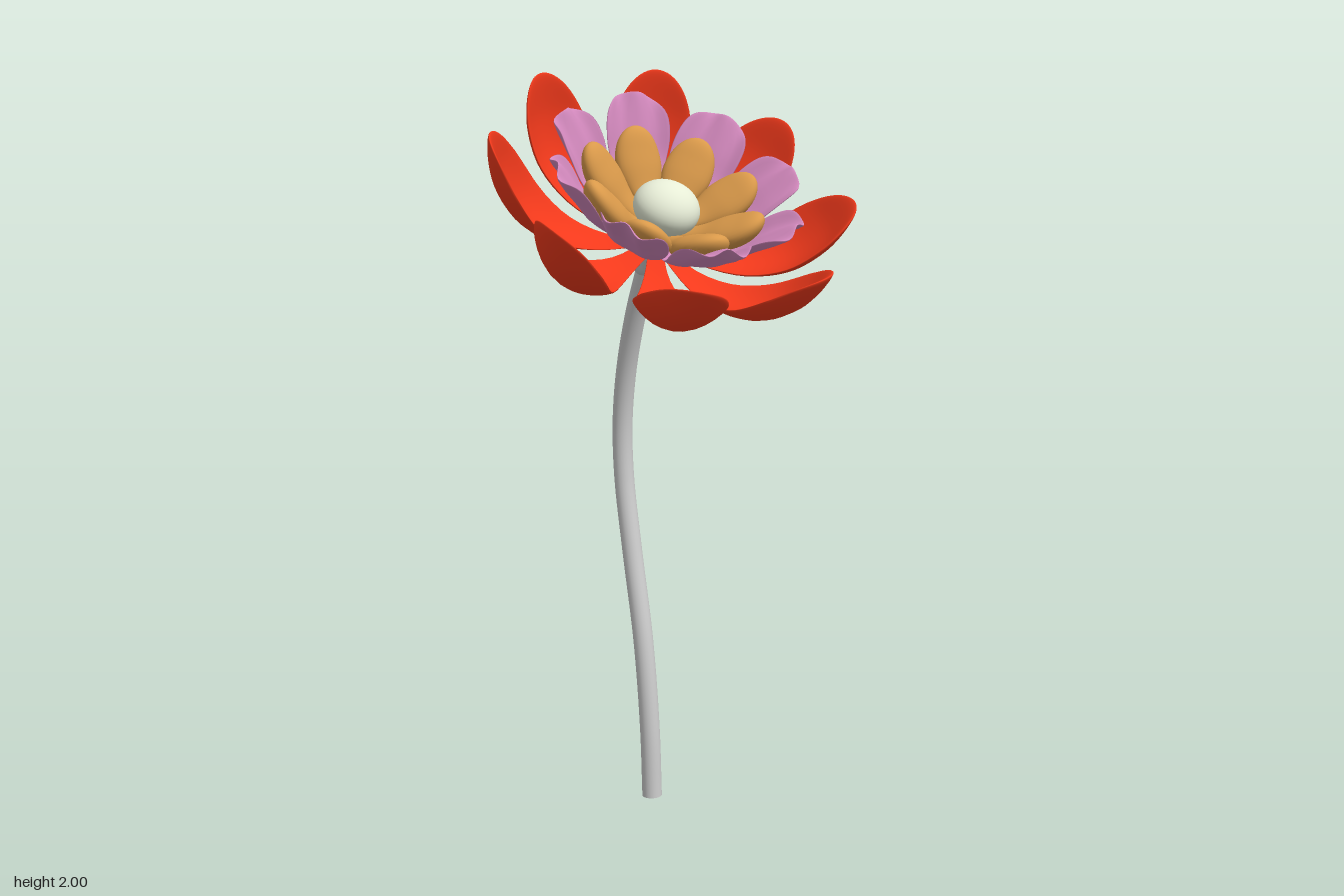
import * as THREE from 'three';

const material = (color) => new THREE.MeshStandardMaterial({ color, side: THREE.DoubleSide });

// Solid petal growing towards +z: profile holds (radius, height) points of its midline.
function petalGeometry({ profile, width, thick, cup, base, widest, blunt, ripple = 0 }) {
  const curve = new THREE.SplineCurve(profile.map(([r, h]) => new THREE.Vector2(r, h)));
  const rows = 28, sides = 28, positions = [], index = [];
  for (let j = 0; j <= rows; j++) {
    const v = Math.sin((j / rows) * Math.PI / 2);
    const c = curve.getPointAt(v), t = curve.getTangentAt(v);
    const grow = base + (1 - base) * THREE.MathUtils.smoothstep(v, 0, widest);
    const k = Math.max(0, (v - widest) / (1 - widest));
    const taper = Math.sqrt(Math.max(0, 1 - Math.pow(k, blunt)));
    for (let i = 0; i < sides; i++) {
      const a = (i / sides) * Math.PI * 2;
      const s = Math.cos(a) * grow * taper;
      const lift = cup * s * s + thick * grow * taper * Math.sin(a)
        + ripple * v * v * Math.cos(2 * Math.PI * s + 0.6);
      positions.push(width * s, c.y + t.x * lift, c.x - t.y * lift);
    }
  }
  for (let j = 0; j < rows; j++) {
    for (let i = 0; i < sides; i++) {
      const n = (i + 1) % sides;
      const a = j * sides + i, b = j * sides + n;
      index.push(a, b, a + sides, b, b + sides, a + sides);
    }
  }
  const geometry = new THREE.BufferGeometry();
  geometry.setAttribute('position', new THREE.Float32BufferAttribute(positions, 3));
  geometry.setIndex(index);
  geometry.computeVertexNormals();
  return geometry;
}

// Eight equal petals around the head axis
function petalRing(name, color, turn, shape) {
  const ring = new THREE.Group();
  ring.name = name + 's';
  const geometry = petalGeometry(shape), mat = material(color);
  for (let i = 0; i < 8; i++) {
    const petal = new THREE.Mesh(geometry, mat);
    petal.name = name;
    petal.rotation.y = THREE.MathUtils.degToRad(turn + i * 45);
    ring.add(petal);
  }
  return ring;
}

export function createModel() {
  const flower = new THREE.Group();
  flower.name = 'flower';
  const grey = material(0xcccccc);

  // Curved stem with a closed foot
  const path = new THREE.CatmullRomCurve3([
    [0, -0.139], [0.2, -0.151], [0.45, -0.187], [0.7, -0.25], [0.9, -0.294],
    [1.05, -0.301], [1.2, -0.277], [1.36, -0.222], [1.5, -0.153],
  ].map(([y, z]) => new THREE.Vector3(0, y, z)));
  const stem = new THREE.Mesh(new THREE.TubeGeometry(path, 64, 0.028, 20), grey);
  stem.name = 'stem';
  const foot = new THREE.Mesh(new THREE.CircleGeometry(0.028, 20), grey);
  foot.name = 'stemFoot';
  foot.rotation.x = Math.PI / 2;
  foot.position.set(0, 0.001, -0.139);
  flower.add(stem, foot);

  // Tilted flower head
  const head = new THREE.Group();
  head.name = 'flowerHead';
  head.position.set(0, 1.53, -0.135);
  head.rotation.x = THREE.MathUtils.degToRad(34);
  flower.add(head);

  // Flared cup joining stem and petals
  const cup = new THREE.Mesh(new THREE.LatheGeometry([
    [0, -0.055], [0.03, -0.055], [0.035, -0.03], [0.043, 0], [0.054, 0.035], [0.06, 0.065], [0.05, 0.1], [0, 0.12],
  ].map(([r, h]) => new THREE.Vector2(r, h)), 32), grey);
  cup.name = 'receptacle';
  head.add(cup);

  // Slightly flattened centre
  const centre = new THREE.Mesh(new THREE.SphereGeometry(0.087, 32, 20), material(0xe6ecd6));
  centre.name = 'flowerCentre';
  centre.position.y = 0.15;
  centre.scale.y = 0.72;
  head.add(centre);

  // Outer petals stand in the gaps between the middle ones
  head.add(
    petalRing('outerPetal', 0xf2391b, 26, {
      profile: [[0.03, 0.035], [0.13, 0.01], [0.25, 0.014], [0.36, 0.062], [0.435, 0.15], [0.478, 0.262]],
      width: 0.11, thick: 0.014, cup: 0.05, base: 0.2, widest: 0.68, blunt: 2.3,
    }),
    petalRing('middlePetal', 0xd68bc0, -3, {
      profile: [[0.03, 0.06], [0.12, 0.08], [0.21, 0.135], [0.27, 0.2], [0.335, 0.27]],
      width: 0.092, thick: 0.008, cup: 0.02, base: 0.3, widest: 0.72, blunt: 2.8, ripple: 0.011,
    }),
    petalRing('innerPetal', 0xd9994a, 2, {
      profile: [[0.05, 0.09], [0.13, 0.125], [0.195, 0.175], [0.238, 0.233]],
      width: 0.065, thick: 0.036, cup: 0.004, base: 0.4, widest: 0.58, blunt: 2.2,
    }),
  );
  return flower;
}
